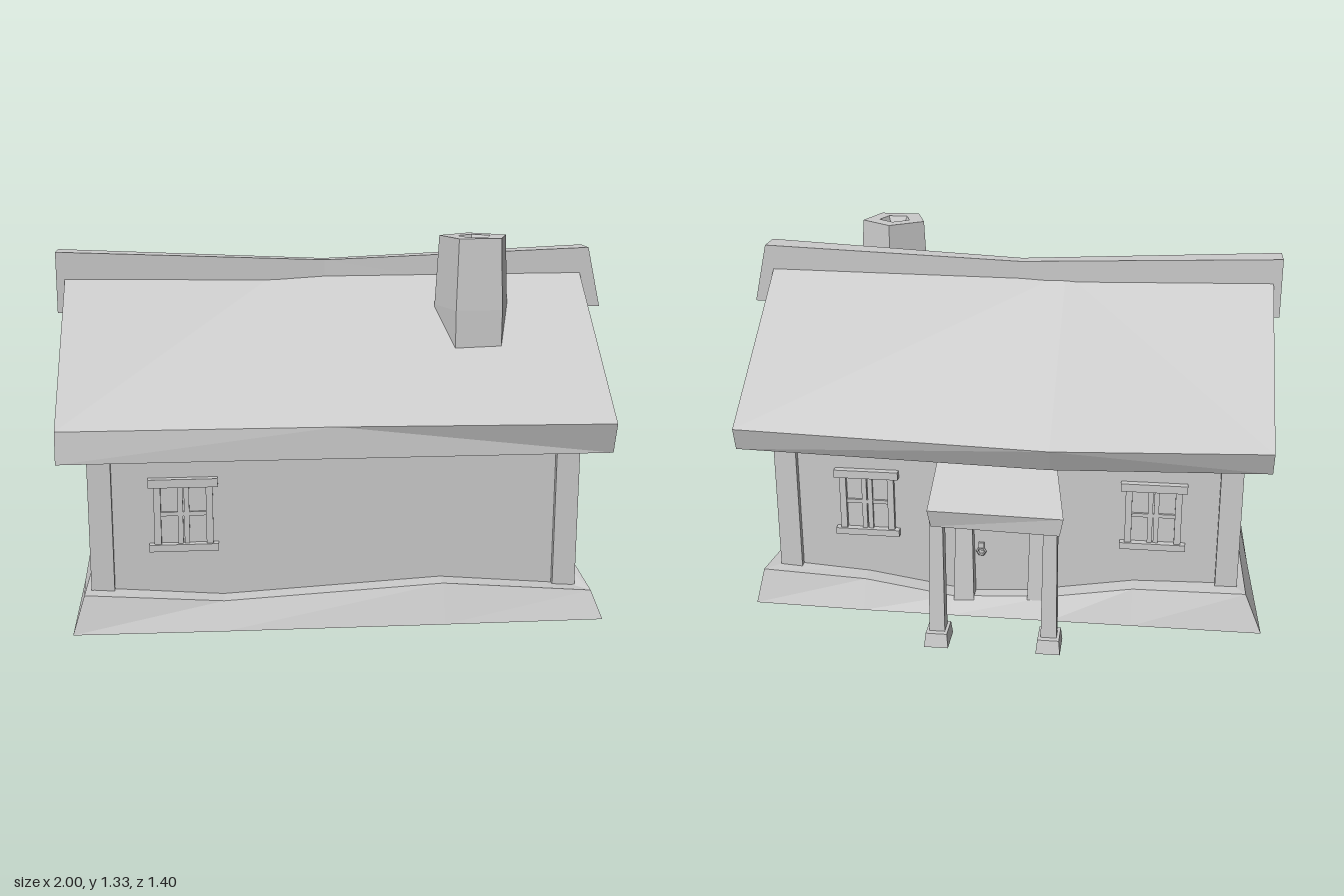
import * as THREE from 'three';

const mat = new THREE.MeshStandardMaterial({ color: 0xcccccc, flatShading: true });
const matOpen = new THREE.MeshStandardMaterial({ color: 0xcccccc, flatShading: true, side: THREE.DoubleSide });

export function createModel() {
  const house = new THREE.Group();
  house.name = 'cottage';

  const add = (name, geometry, material = mat, parent = house) => {
    const mesh = new THREE.Mesh(geometry, material);
    mesh.name = name;
    parent.add(mesh);
    return mesh;
  };

  // Box given by its min and max along each axis
  const box = (name, [x0, x1], [y0, y1], [z0, z1], parent = house) => {
    const mesh = add(name, new THREE.BoxGeometry(x1 - x0, y1 - y0, z1 - z0), mat, parent);
    mesh.position.set((x0 + x1) / 2, (y0 + y1) / 2, (z0 + z1) / 2);
  };

  // Skin a row of equal loops of [x, y, z] points; faces are turned outwards by signed volume.
  // With mirrored, the first span's quads are split along the other diagonal.
  const loft = (loops, { caps = true, closed = true, mirrored = false } = {}) => {
    const tris = [];
    const n = loops[0].length;
    for (let i = 0; i < loops.length - 1; i++) {
      const a = loops[i], b = loops[i + 1];
      for (let j = 0; j < (closed ? n : n - 1); j++) {
        const k = (j + 1) % n;
        if (mirrored && i === 0) tris.push([a[j], a[k], b[j]], [a[k], b[k], b[j]]);
        else tris.push([a[j], a[k], b[k]], [a[j], b[k], b[j]]);
      }
    }
    if (caps) {
      const first = loops[0], last = loops[loops.length - 1];
      for (let j = 1; j < n - 1; j++) {
        tris.push([first[0], first[j + 1], first[j]], [last[0], last[j], last[j + 1]]);
      }
    }
    const v = (p) => new THREE.Vector3(...p);
    const volume = tris.reduce((s, [a, b, c]) => s + v(a).dot(v(b).cross(v(c))), 0);
    const pts = tris.flatMap((t) => (volume < 0 ? [t[0], t[2], t[1]] : t)).flat();
    const g = new THREE.BufferGeometry();
    g.setAttribute('position', new THREE.Float32BufferAttribute(pts, 3));
    g.computeVertexNormals();
    return g;
  };

  // Horizontal rectangle loop, for tapered or leaning posts
  const rect = (x0, x1, z0, z1, y) => [[x0, y, z0], [x1, y, z0], [x1, y, z1], [x0, y, z1]];

  // Plinth: sloped stone ring with an uneven top; points are [outer x, outer z, top x, top z, top y]
  const ring = [
    [-0.94, 0.635, -0.9, 0.6, 0.135], [-0.42, 0.645, -0.42, 0.6, 0.1], [0.35, 0.65, 0.35, 0.6, 0.14],
    [0.915, 0.65, 0.88, 0.61, 0.1], [0.915, 0.26, 0.87, 0.26, 0.15], [0.915, -0.07, 0.87, -0.07, 0.11],
    [0.915, -0.45, 0.89, -0.415, 0.13], [0.5, -0.46, 0.5, -0.41, 0.11], [0.17, -0.46, 0.17, -0.41, 0.06],
    [-0.2, -0.46, -0.2, -0.41, 0.08], [-0.5, -0.46, -0.5, -0.41, 0.13],
    [-0.97, -0.46, -0.91, -0.42, 0.14], [-0.95, 0.1, -0.905, 0.1, 0.11],
  ];
  const clamp = THREE.MathUtils.clamp;
  const ringLoops = ring.map(([ox, oz, tx, tz, ty]) => [
    [ox, 0.005, oz], [tx, ty, tz], [clamp(tx, -0.855, 0.805), ty, clamp(tz, -0.335, 0.525)],
  ]);
  add('plinth', loft([...ringLoops, ringLoops[0]], { caps: false, closed: false }), matOpen);

  // Walls: thin, open underneath
  for (const [name, z, turn] of [['frontWall', 0.53, 0], ['backWall', -0.34, Math.PI]]) {
    const wall = add(name, new THREE.PlaneGeometry(1.67, 0.69), matOpen);
    wall.position.set(-0.025, 0.395, z);
    wall.rotation.y = turn;
  }
  const gable = new THREE.Shape([[0.53, 0.05], [0.53, 0.79], [0.1, 1.18], [-0.34, 0.78], [-0.34, 0.05]]
    .map(([z, y]) => new THREE.Vector2(-z, y)));
  for (const [name, x] of [['leftGableWall', 0.815], ['rightGableWall', -0.86]]) {
    const wall = add(name, new THREE.ShapeGeometry(gable), matOpen);
    wall.rotation.y = Math.PI / 2;
    wall.position.x = x;
  }

  // Corner posts
  for (const x of [[-0.88, -0.8], [0.755, 0.837]]) {
    for (const z of [[0.45, 0.55], [-0.365, -0.25]]) box('cornerPost', x, [0.08, 0.74], z);
  }

  // Bowed beams across both gables
  for (const [x0, x1] of [[0.8, 0.885], [-0.93, -0.85]]) {
    add('gableBeam', loft([[0.58, 0.66, 0.775], [0.3, 0.715, 0.805], [-0.15, 0.72, 0.81], [-0.37, 0.66, 0.765]]
      .map(([z, lo, hi]) => [[x0, lo, z], [x1, lo, z], [x1, hi, z], [x0, hi, z]])));
  }

  // Roof slopes with a sagging ridge; rows are [ridge x, eave x, ridge y, eave z, eave inset]
  const slope = (rows, top, bottom) => loft(rows.map(([x, ex, ry, ez, inset]) => [
    [x, ry, 0.1], [ex, top, ez], [ex, bottom, ez + inset], [x, ry - 0.075, 0.1],
  ]), { mirrored: true });
  add('frontRoof', slope([
    [-0.97, -0.97, 1.22, 0.65, 0.012], [-0.2, -0.03, 1.185, 0.66, 0.003], [0.92, 0.92, 1.22, 0.7, -0.035],
  ], 0.73, 0.62));
  add('backRoof', slope([
    [-0.97, -0.97, 1.22, -0.49, 0.03], [-0.2, -0.2, 1.185, -0.555, 0.04], [0.92, 0.948, 1.22, -0.48, 0.025],
  ], 0.72, 0.635));

  // Ridge beam, thinner and lower in the middle
  add('ridgeBeam', loft([[-1, -1, 0.05, 0.155, 1.27], [-0.03, -0.03, 0.07, 0.125, 1.23], [0.95, 1, 0.05, 0.155, 1.27]]
    .map(([xt, xb, z0, z1, y]) => [[xt, y, z0], [xt, y, z1], [xb, 1.05, z1], [xb, 1.05, z0]])));

  // Five-sided chimney with a tapering flue
  const chimney = add('chimney', new THREE.LatheGeometry(
    [[0.14, 0.88], [0.14, 1.08], [0.127, 1.33], [0.062, 1.33], [0, 1.22]].map(([r, y]) => new THREE.Vector2(r, y)), 5));
  chimney.rotation.y = Math.PI;
  chimney.position.set(0.492, 0, 0.302);

  // Windows: head, sill, stiles and glazing bars set through the wall
  const makeWindow = (name, x, y, z, turn) => {
    const w = new THREE.Group();
    w.name = name;
    box('head', [-0.12, 0.12], [0.1, 0.13], [-0.02, 0.026], w);
    box('sill', [-0.12, 0.12], [-0.13, -0.105], [-0.02, 0.026], w);
    for (const s of [-1, 1]) {
      box('stile', [s * 0.09 - 0.012, s * 0.09 + 0.012], [-0.11, 0.11], [-0.015, 0.018], w);
      box('sash', [s * 0.011 - 0.009, s * 0.011 + 0.009], [-0.11, 0.11], [-0.012, 0.012], w);
    }
    box('bar', [-0.09, 0.09], [-0.006, 0.008], [-0.01, 0.009], w);
    w.position.set(x, y, z);
    w.rotation.y = turn;
    house.add(w);
  };
  makeWindow('frontWindow', -0.555, 0.4, 0.53, 0);
  makeWindow('backLeftWindow', 0.495, 0.4, -0.34, Math.PI);
  makeWindow('backRightWindow', -0.565, 0.4, -0.34, Math.PI);

  // Door with flared jambs, a lintel and a handle
  const door = new THREE.Group();
  door.name = 'door';
  house.add(door);
  box('doorPanel', [-0.12, 0.1], [0.04, 0.42], [-0.36, -0.335], door);
  for (const x of [0.125, -0.15]) {
    add('jamb', loft([rect(x - 0.038, x + 0.038, -0.422, -0.34, 0.04), rect(x - 0.03, x + 0.03, -0.392, -0.34, 0.42)]), mat, door);
  }
  box('lintel', [-0.21, 0.19], [0.415, 0.455], [-0.41, -0.335], door);
  const handle = add('handle', new THREE.TorusGeometry(0.015, 0.005, 4, 6), mat, door);
  handle.position.set(0.065, 0.23, -0.367);
  box('handlePlate', [0.055, 0.075], [0.235, 0.265], [-0.37, -0.355], door);

  // Porch: sloping slab on two leaning posts with footings
  const porch = new THREE.Group();
  porch.name = 'porch';
  house.add(porch);
  add('porchRoof', loft([
    [[-0.2, 0.665, -0.34], [0.21, 0.665, -0.34], [0.21, 0.565, -0.34], [-0.2, 0.565, -0.34]],
    [[-0.263, 0.53, -0.69], [0.21, 0.53, -0.675], [0.2, 0.465, -0.66], [-0.25, 0.465, -0.685]],
  ]), mat, porch);
  for (const x of [-0.215, 0.183]) {
    add('porchPost', loft([rect(x - 0.028, x + 0.028, -0.672, -0.615, 0.05), rect(x - 0.024, x + 0.024, -0.652, -0.603, 0.49)]), mat, porch);
    add('porchFooting', loft([rect(x - 0.043, x + 0.043, -0.702, -0.588, 0.01), rect(x - 0.038, x + 0.038, -0.692, -0.597, 0.06)]), mat, porch);
  }

  return house;
}
